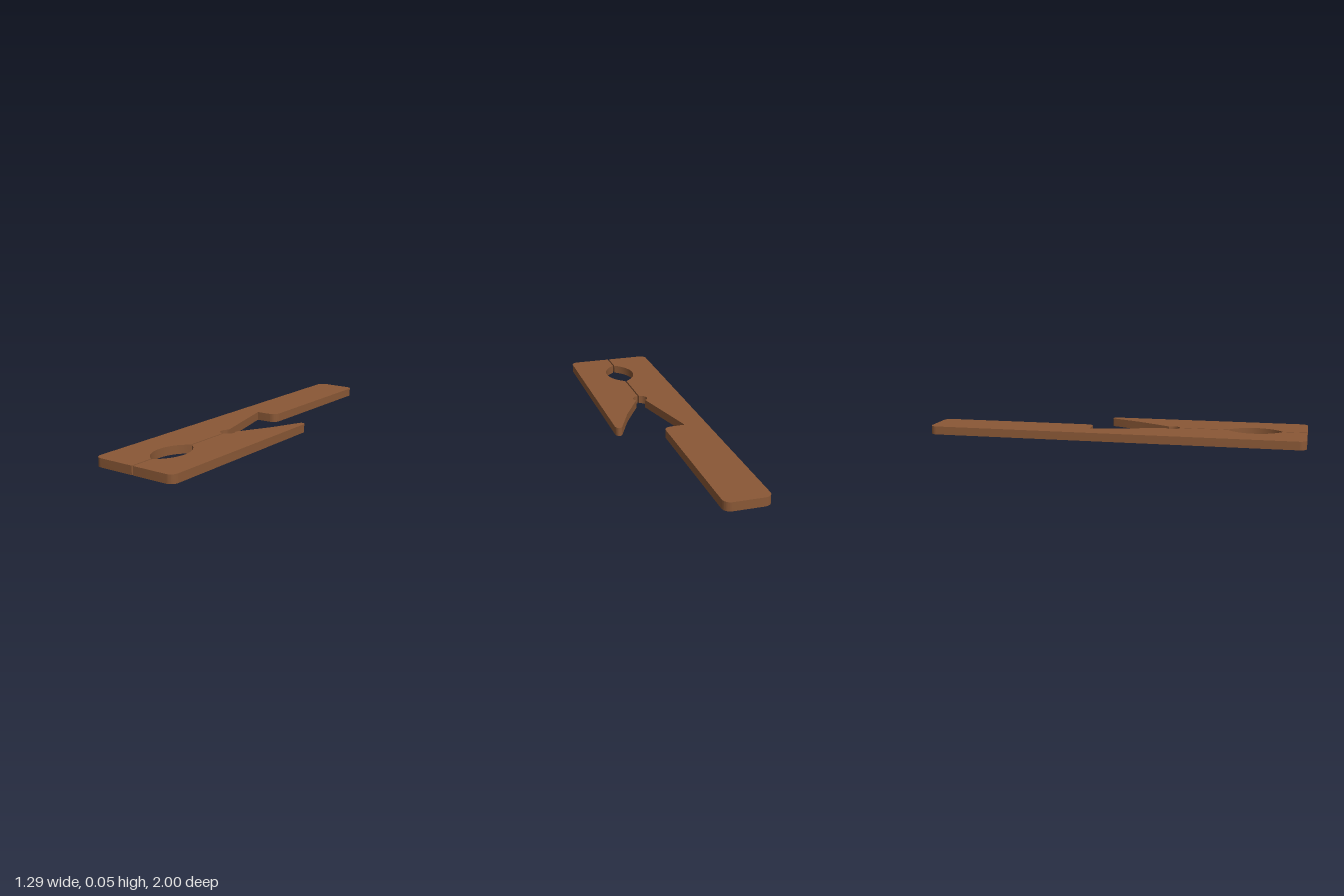
import * as THREE from 'three';
import { toCreasedNormals } from 'three/addons/utils/BufferGeometryUtils.js';

const THICKNESS = 0.046;
const RADIUS = 0.04;
const GAP = [0.0034, 0.0022]; // half the slit, measured across the peg

// Plan coordinates are (x, z); shapes are drawn with y = -z.
const line = (s, x, z) => s.lineTo(x, -z);
const curve = (s, a, b, c) => s.bezierCurveTo(a[0], -a[1], b[0], -b[1], c[0], -c[1]);

// Rounded right-angled corner, approached along din and left along dout
function corner(s, [x, z], din, dout, r = RADIUS) {
  const at = (d, k) => [x + d[0] * k, z + d[1] * k];
  const start = at(din, -r);
  line(s, ...start);
  curve(s, at(din, -r * 0.45), at(dout, r * 0.45), at(dout, r));
}

// Unit directions along and across the peg
const UP = [0.538, -0.843], DOWN = [-0.538, 0.843];
const ACROSS = [0.843, 0.538], BACK = [-0.843, -0.538];

// Ends of the slit and the grip hole
const SLIT_END = [-0.455, 0.881], HOLE_LOW = [-0.384, 0.767], HOLE_HIGH = [-0.225, 0.515];
const shift = ([x, z], k) => [x + GAP[0] * k, z + GAP[1] * k];
const PIVOT = [-0.062, 0.254];
const rad = THREE.MathUtils.degToRad;

function longArmShape() {
  const s = new THREE.Shape();
  const start = shift(SLIT_END, -1);
  s.moveTo(start[0], -start[1]);
  corner(s, [-0.66, 0.75], BACK, UP);
  corner(s, [0.46, -1.015], UP, ACROSS);
  corner(s, [0.658, -0.887], ACROSS, DOWN);
  corner(s, [0.178, -0.128], DOWN, BACK);
  line(s, 0.077, -0.19);
  line(s, -0.061, 0.214);
  s.absarc(PIVOT[0], -PIVOT[1], 0.04, rad(90), rad(231.7), false);
  line(s, ...shift(HOLE_HIGH, -1));
  curve(s, [-0.353, 0.517], [-0.436, 0.65], shift(HOLE_LOW, -1));
  s.closePath();
  return s;
}

function shortArmShape() {
  const s = new THREE.Shape();
  const start = shift(SLIT_END, 1);
  s.moveTo(start[0], -start[1]);
  line(s, ...shift(HOLE_LOW, 1));
  curve(s, [-0.256, 0.765], [-0.173, 0.632], shift(HOLE_HIGH, 1));
  s.absarc(PIVOT[0], -PIVOT[1], 0.04, rad(243), rad(370), false);
  // pointed jaw with a small rounded tip
  line(s, 0, 0.236);
  line(s, 0.165, 0.146);
  line(s, 0.315, 0.045);
  curve(s, [0.335, 0.032], [0.35, 0.057], [0.336, 0.079]);
  corner(s, [-0.25, 1.013], DOWN, BACK);
  s.closePath();
  return s;
}

export function createModel() {
  const group = new THREE.Group();
  group.name = 'clothespin';
  const wood = new THREE.MeshStandardMaterial({ color: 0x8a5836 });
  wood.name = 'brown wood';

  // Flat plate, cut to the outline and laid on the ground
  const addPlate = (name, shape) => {
    const plate = new THREE.ExtrudeGeometry(shape, {
      depth: THICKNESS, bevelEnabled: false, curveSegments: 16,
    });
    plate.rotateX(-Math.PI / 2);
    const mesh = new THREE.Mesh(toCreasedNormals(plate, rad(30)), wood);
    mesh.name = name;
    group.add(mesh);
  };
  addPlate('longArm', longArmShape());
  addPlate('shortArm', shortArmShape());
  return group;
}
